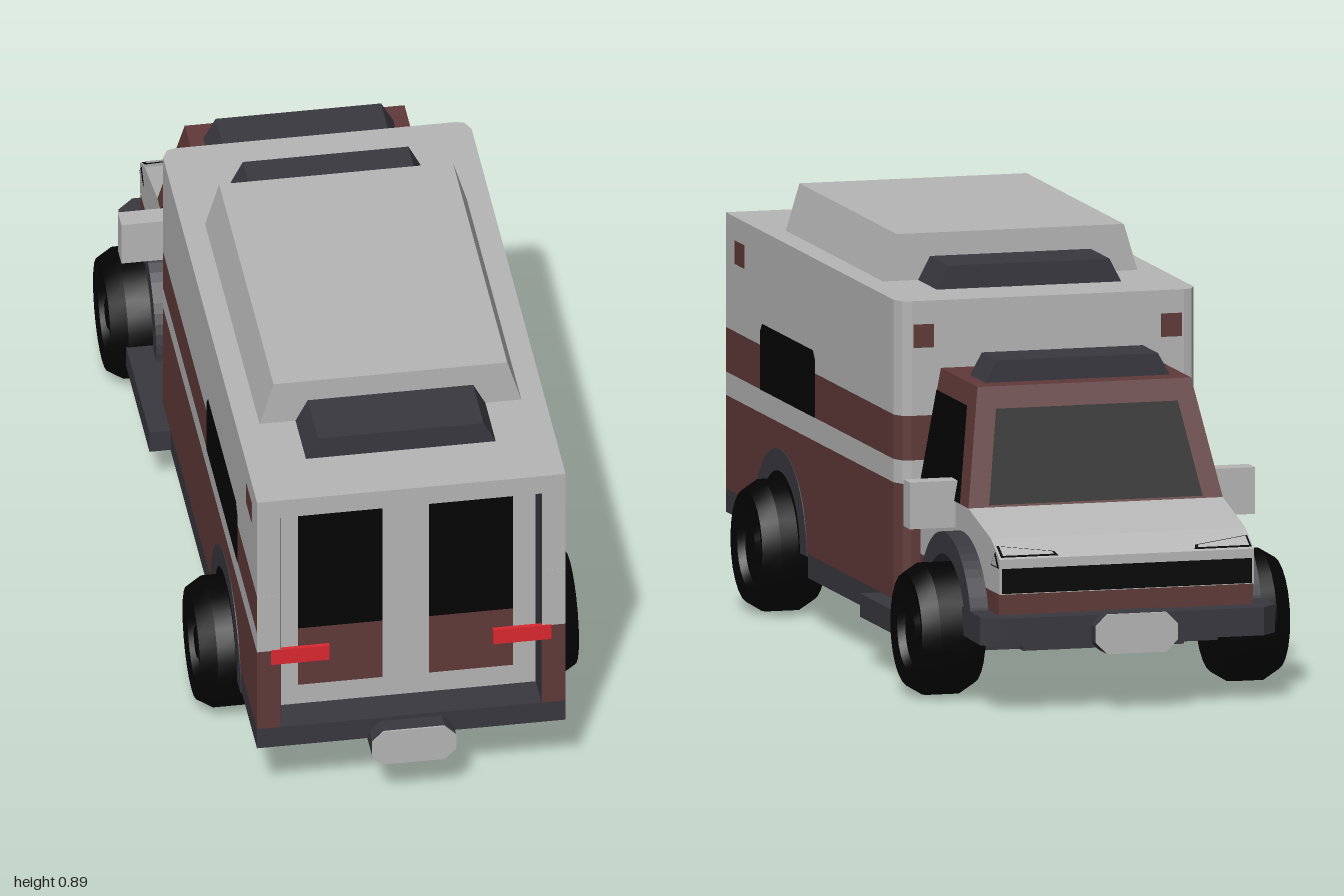
import * as THREE from 'three';
import { toCreasedNormals } from 'three/addons/utils/BufferGeometryUtils.js';

const mat = (name, hex, side = THREE.FrontSide) => {
  const m = new THREE.MeshStandardMaterial({ color: hex, side });
  m.name = name;
  return m;
};

export function createModel() {
  const root = new THREE.Group();
  root.name = 'ambulance';
  const white = mat('offWhite', 0xb6b6b6, THREE.DoubleSide);
  const red = mat('maroon', 0x603a39);
  const dark = mat('darkGrey', 0x39383f);
  const black = mat('black', 0x030303, THREE.DoubleSide);
  const lamp = mat('lampRed', 0xdc2831);

  const add = (name, geo, m) => {
    const mesh = new THREE.Mesh(geo, m);
    mesh.name = name;
    root.add(mesh);
    return mesh;
  };
  // Box between two limits on each axis
  const box = (name, m, x0, x1, y0, y1, z0, z1) =>
    add(name, new THREE.BoxGeometry(Math.abs(x1 - x0), y1 - y0, z1 - z0)
      .translate((x0 + x1) / 2, (y0 + y1) / 2, (z0 + z1) / 2), m);
  const toShape = pts => new THREE.Shape(pts.map(p => new THREE.Vector2(p[0], p[1])));
  const extrude = (shape, depth) =>
    new THREE.ExtrudeGeometry(shape, { depth, bevelEnabled: false, curveSegments: 14 });
  // Footprint of [x, z] points raised from y0 to y1
  const raise = (name, m, pts, y0, y1) =>
    add(name, extrude(toShape(pts.map(([x, z]) => [x, -z])), y1 - y0)
      .rotateX(-Math.PI / 2).translate(0, y0, 0), m);
  // Side outline in (z, y) stretched between two x positions
  const across = (name, m, shape, a, b) =>
    add(name, extrude(shape, Math.abs(b - a)).rotateY(-Math.PI / 2).translate(Math.max(a, b), 0, 0), m);
  // Tapered block: half widths and z ranges at the bottom and the top
  const taper = (name, m, w0, w1, y0, y1, zb, zt) => {
    const g = new THREE.BoxGeometry(2, 2, 2);
    const p = g.attributes.position;
    for (let i = 0; i < p.count; i++) {
      const top = p.getY(i) > 0, z = top ? zt : zb;
      p.setXYZ(i, p.getX(i) * (top ? w1 : w0), top ? y1 : y0, p.getZ(i) < 0 ? z[0] : z[1]);
    }
    g.computeVertexNormals();
    return add(name, g, m);
  };
  // Flat convex panel from corner points
  const panel = (name, m, pts) => {
    const tri = [];
    for (let i = 1; i < pts.length - 1; i++) tri.push(...pts[0], ...pts[i], ...pts[i + 1]);
    const g = new THREE.BufferGeometry();
    g.setAttribute('position', new THREE.Float32BufferAttribute(tri, 3));
    g.computeVertexNormals();
    return add(name, g, m);
  };

  // Patient module: stacked colour bands, notched at the back for the doors
  const nose = [[0.33, -0.3], [0.318, -0.325], [0.3, -0.33], [-0.3, -0.33], [-0.318, -0.325], [-0.33, -0.3]];
  const full = [[0.33, 0.96], ...nose, [-0.33, 0.96]];
  const notched = [...full, [-0.28, 0.96], [-0.28, 0.88], [0.28, 0.88], [0.28, 0.96]];
  raise('lowerBand', red, [[0.33, 0.4], ...nose, [-0.33, 0.4]], 0.15, 0.2);
  raise('lowerBody', red, notched, 0.2, 0.4);
  raise('whiteStripe', white, notched, 0.4, 0.45);
  raise('redStripe', red, notched, 0.45, 0.545);
  raise('upperBody', white, notched, 0.545, 0.745);
  raise('bodyRoof', white, full, 0.745, 0.79);
  box('rearSkirt', dark, -0.33, 0.33, 0.15, 0.2, 0.4, 0.96);

  // Rear doors
  box('doorPanel', white, -0.28, 0.28, 0.2, 0.745, 0.877, 0.882);
  for (const s of [-1, 1]) {
    box('rearCorner', white, s * 0.28, s * 0.33, 0.45, 0.545, 0.957, 0.9605);
    box('doorJamb', dark, s * 0.2785, s * 0.281, 0.2, 0.745, 0.88, 0.958);
    box('doorWindow', black, s * 0.05, s * 0.23, 0.397, 0.69, 0.88, 0.884);
    box('doorLowerPanel', red, s * 0.05, s * 0.23, 0.25, 0.397, 0.88, 0.884);
    box('tailLight', lamp, s * 0.175, s * 0.3, 0.365, 0.402, 0.953, 0.962);
    box('frontMarker', red, s * 0.25, s * 0.295, 0.69, 0.74, -0.331, -0.328);
    box('sideMarker', red, s * 0.327, s * 0.331, 0.69, 0.74, 0.82, 0.89);
    // Side window with clipped upper corners
    const win = toShape([[0.29, 0.45], [0.7, 0.45], [0.7, 0.575], [0.685, 0.592], [0.305, 0.592], [0.29, 0.575]]);
    across('sideWindow', black, win, s * 0.326, s * 0.331);
  }

  // Roof fairing, roof units and cab light bar
  taper('roofFairing', white, 0.28, 0.25, 0.79, 0.89, [-0.05, 0.68], [-0.05, 0.68]);
  taper('rearRoofUnit', dark, 0.203, 0.177, 0.79, 0.84, [0.68, 0.82], [0.68, 0.82]);
  taper('frontRoofUnit', dark, 0.203, 0.177, 0.79, 0.84, [-0.19, -0.05], [-0.19, -0.05]);
  taper('cabLightBar', dark, 0.203, 0.177, 0.645, 0.692, [-0.555, -0.44], [-0.555, -0.44]);

  // Cab
  taper('cabTop', red, 0.28, 0.235, 0.4, 0.645, [-0.69, -0.32], [-0.605, -0.32]);
  across('hood', white, toShape([[-0.32, 0.25], [-0.32, 0.4], [-0.69, 0.4], [-0.86, 0.36],
    [-0.925, 0.325], [-0.925, 0.25]]), -0.28, 0.28);
  box('cabLower', red, -0.28, 0.28, 0.2, 0.25, -0.915, -0.32);
  box('cabSill', red, -0.28, 0.28, 0.15, 0.2, -0.48, -0.32);
  box('grille', black, -0.275, 0.275, 0.252, 0.305, -0.928, -0.922);

  // Cab glass lies just outside the tapered cab faces
  const t = y => (y - 0.4) / 0.245;
  const sideX = y => 0.283 - 0.045 * t(y);
  const screen = (x, y) => [x, y, -0.694 + 0.085 * t(y)];
  panel('windshield', black, [screen(0.235, 0.405), screen(-0.235, 0.405), screen(-0.2, 0.6), screen(0.2, 0.6)]);
  for (const s of [-1, 1]) {
    panel('cabSideWindow', black, [[-0.335, 0.402], [-0.335, 0.6], [-0.565, 0.6], [-0.635, 0.402]]
      .map(([z, y]) => [s * sideX(y), y, z]));
    // Headlights wrap from the hood slope to the side
    const slope = (x, z, d) => [s * x, 0.36 + (z + 0.86) * 0.538 + d, z];
    panel('headlightFrame', black, [slope(0.15, -0.922, 0.002), slope(0.276, -0.922, 0.002),
      slope(0.276, -0.885, 0.002), slope(0.155, -0.908, 0.002)]);
    panel('headlightLens', white, [slope(0.158, -0.919, 0.004), slope(0.271, -0.919, 0.004),
      slope(0.271, -0.89, 0.004), slope(0.161, -0.911, 0.004)]);
    const tri = [[-0.86, 0.305], [-0.924, 0.305], [-0.895, 0.338]];
    panel('headlightSideFrame', black, tri.map(([z, y]) => [s * 0.281, y, z]));
    panel('headlightSideLens', white, tri.map(([z, y]) =>
      [s * 0.283, 0.316 + (y - 0.316) * 0.7, -0.893 + (z + 0.893) * 0.7]));
    box('mirror', white, s * 0.275, s * 0.38, 0.345, 0.445, -0.592, -0.545);
    box('runningBoard', dark, s * 0.25, s * 0.375, 0.1, 0.15, -0.525, -0.2);
  }

  // Underside and bumpers
  box('floor', dark, -0.33, 0.33, 0.1, 0.151, -0.33, 0.345);
  box('cabFloor', dark, -0.26, 0.26, 0.1, 0.2, -0.72, -0.33);
  box('chassis', dark, -0.177, 0.177, 0.1, 0.19, -0.75, 0.66);
  raise('frontBumper', dark, [[0.32, -0.78], [0.325, -0.93], [0.29, -0.965], [-0.29, -0.965],
    [-0.325, -0.93], [-0.32, -0.78]], 0.145, 0.205);

  // Octagonal bumper blocks with pale faces
  const octShape = toShape([[-0.065, 0], [0.065, 0], [0.09, 0.025], [0.09, 0.06], [0.065, 0.085],
    [-0.065, 0.085], [-0.09, 0.06], [-0.09, 0.025]]);
  add('rearBumperBlock', extrude(octShape, 0.06).translate(0, 0.106, 0.936), dark);
  add('rearBumperPlate', extrude(octShape, 0.004).translate(0, 0.106, 0.996), white);
  add('frontBumperBlock', extrude(octShape, 0.06).translate(0, 0.125, -0.996), dark);
  add('frontBumperPlate', extrude(octShape, 0.004).translate(0, 0.125, -1), white);

  // Wheels, wheel wells and arches
  const profile = [[0, -0.07], [0.12, -0.07], [0.141, -0.035], [0.141, 0.035], [0.12, 0.07], [0.09, 0.064],
    [0.083, 0.048], [0.045, 0.048], [0.032, 0.06], [0, 0.06]].map(p => new THREE.Vector2(p[0], p[1]));
  const wheelGeo = toCreasedNormals(new THREE.LatheGeometry(profile, 24), 0.5);
  for (const [z, bodyX, archX] of [[0.55, 0.33, 0.332], [-0.65, 0.28, 0.32]]) {
    const arch = new THREE.Shape();
    arch.absarc(z, 0.145, 0.2, 0, Math.PI, false);
    arch.absarc(z, 0.145, 0.153, Math.PI, 0, true);
    const well = new THREE.Shape();
    well.absarc(z, 0.145, 0.156, 0, Math.PI, false);
    for (const s of [-1, 1]) {
      const wheel = add('wheel', wheelGeo, black);
      wheel.position.set(s * 0.335, 0.141, z);
      wheel.rotation.z = -s * Math.PI / 2;
      across('wheelArch', dark, arch, s * 0.25, s * archX);
      across('wheelWell', black, well, s * (bodyX - 0.005), s * (bodyX + 0.001));
    }
  }
  return root;
}
